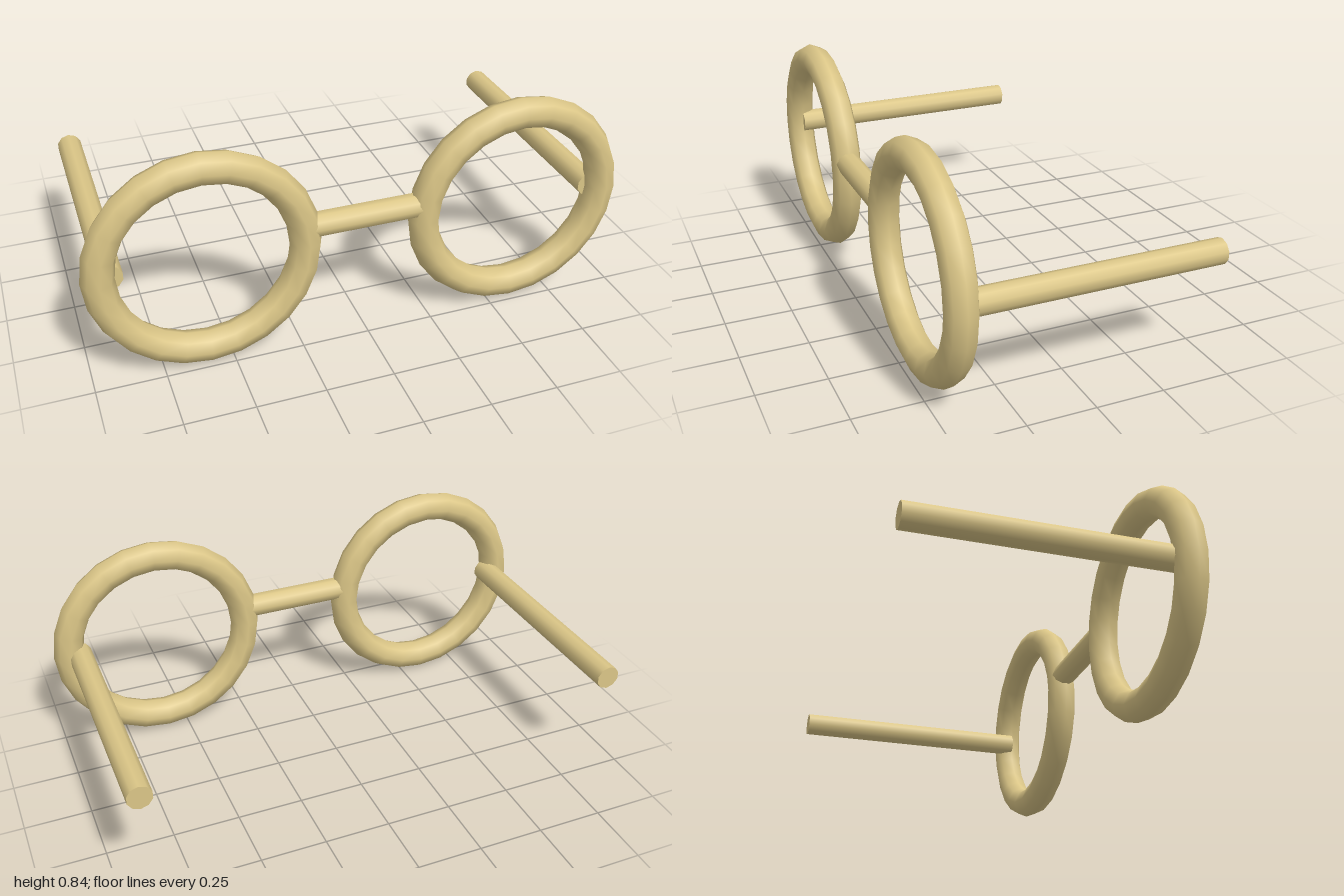
import * as THREE from 'three';

export function createModel() {
  const group = new THREE.Group();
  group.name = 'roundGlasses';
  const brass = new THREE.MeshStandardMaterial({ color: 0xdbc687 });
  brass.name = 'paleBrass';

  const RIM_Y = 0.418, RIM_Z = 0.447, ROD = 0.046;

  const add = (name, geometry, x, y, z) => {
    const mesh = new THREE.Mesh(geometry, brass);
    mesh.name = name;
    mesh.position.set(x, y, z);
    group.add(mesh);
  };

  // Rims and temple arms, one per side
  const rim = new THREE.TorusGeometry(0.36, 0.058, 8, 24);
  const armLength = 0.95;
  const arm = new THREE.CylinderGeometry(ROD, ROD, armLength, 10).rotateX(Math.PI / 2);
  for (const [side, s] of [['left', 1], ['right', -1]]) {
    add(side + 'Rim', rim, s * 0.582, RIM_Y, RIM_Z);
    add(side + 'Temple', arm, s * 0.9, 0.42, RIM_Z - armLength / 2);
  }

  // Bridge joining the rims, slightly above their centres
  const bridge = new THREE.CylinderGeometry(ROD, ROD, 0.42, 10).rotateZ(Math.PI / 2);
  add('bridge', bridge, 0, 0.476, RIM_Z);

  return group;
}
